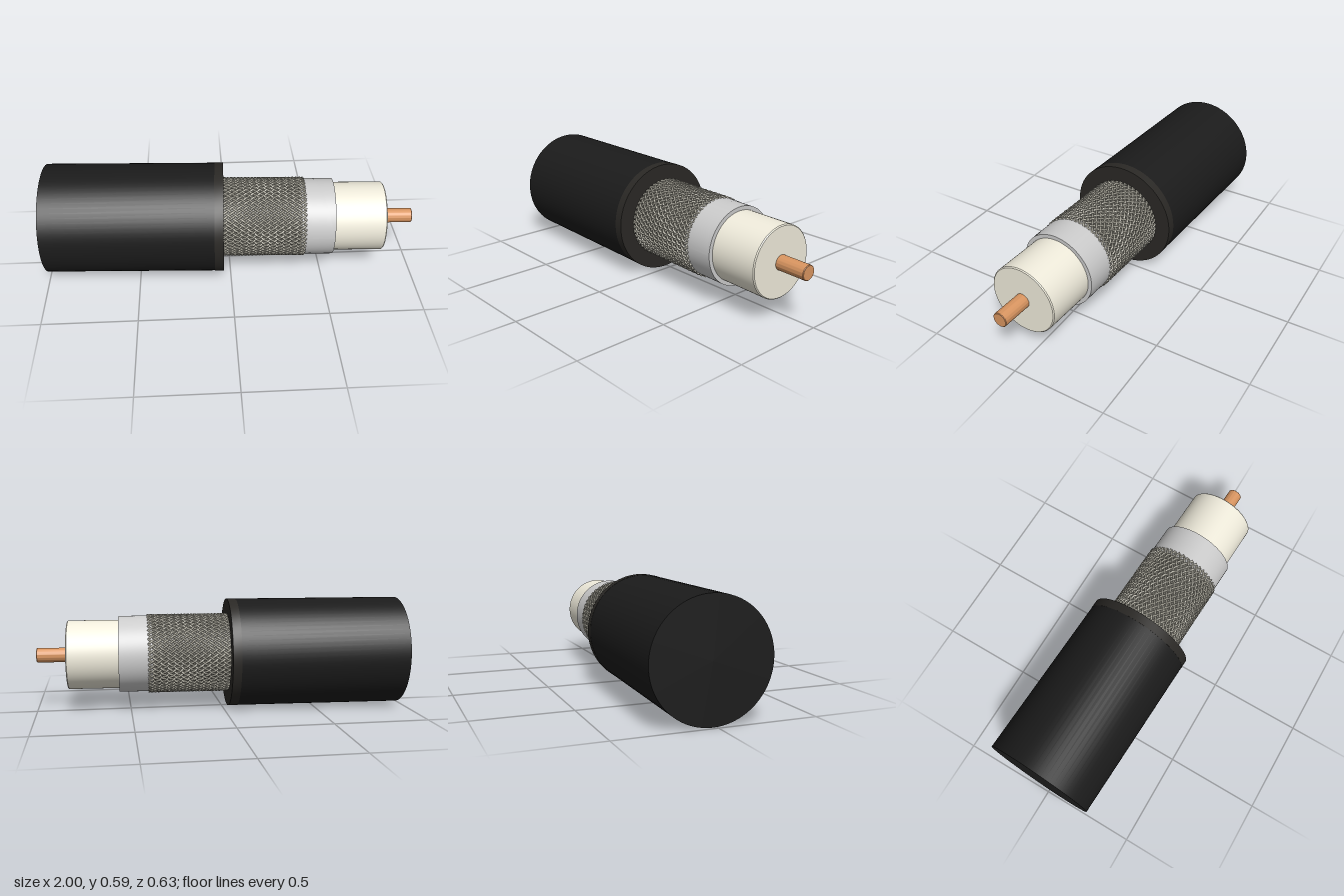
import * as THREE from 'three';
import { mergeGeometries, toCreasedNormals } from 'three/addons/utils/BufferGeometryUtils.js';

const mat = (color) => new THREE.MeshStandardMaterial({ color });

// Solid round layer along x from a to b, with a small chamfer on the +x end
function layer(name, r, a, b, color, chamfer = 0) {
  const pts = [[0, a], [r, a], [r, b - chamfer]];
  if (chamfer) pts.push([r - chamfer, b]);
  pts.push([0, b]);
  const lathe = new THREE.LatheGeometry(pts.map(([x, y]) => new THREE.Vector2(x, y)), 72);
  const geo = toCreasedNormals(lathe, 0.5);
  geo.rotateZ(-Math.PI / 2);
  const mesh = new THREE.Mesh(geo, mat(color));
  mesh.name = name;
  return mesh;
}

// One braid wire: a helix whose radius waves over and under the crossing wires
class BraidWire extends THREE.Curve {
  constructor(dir, count, turns, a, b) {
    super();
    Object.assign(this, { dir, count, turns, a, b });
  }
  getPoint(t, target = new THREE.Vector3()) {
    const ang = 2 * Math.PI * this.turns * t;
    const r = 0.207 + this.dir * 0.0035 * Math.cos(this.count * ang);
    return target.set(this.a + (this.b - this.a) * t,
      r * Math.cos(this.dir * ang), r * Math.sin(this.dir * ang));
  }
  getPointAt(t, target) { return this.getPoint(t, target); }
  getTangentAt(t, target) { return this.getTangent(t, target); }
}

function braid(a, b) {
  const count = 48, wires = [];
  for (const dir of [1, -1]) {
    const wire = new THREE.TubeGeometry(new BraidWire(dir, count, 0.25, a, b), 72, 0.0058, 5);
    for (let i = 0; i < count; i++) {
      wires.push(wire.clone().rotateX((2 * Math.PI * i) / count));
    }
  }
  const mesh = new THREE.Mesh(mergeGeometries(wires), mat(0xb4b1a4));
  mesh.name = 'braidWires';
  return mesh;
}

// Overlapping foil edge: a thin sheet bounded by a helical seam
function foilOverlap(start, end) {
  const geo = new THREE.PlaneGeometry(1, 1, 48, 4);
  const p = geo.attributes.position;
  for (let i = 0; i < p.count; i++) {
    const u = p.getX(i) + 0.5, v = p.getY(i) + 0.5;
    const ang = -1.37 + u * 2.94;
    const x = start + v * u * (end - start);
    p.setXYZ(i, x, 0.2085 * Math.cos(ang), 0.2085 * Math.sin(ang));
  }
  geo.computeVertexNormals();
  const material = mat(0xd6d6d3);
  material.side = THREE.DoubleSide;
  const mesh = new THREE.Mesh(geo, material);
  mesh.name = 'foilOverlap';
  return mesh;
}

export function createModel() {
  const cable = new THREE.Group();
  cable.name = 'coaxialCable';

  // Outer jacket with its cut end band
  cable.add(layer('jacket', 0.295, -0.988, -0.08, 0x1b1b1b));
  cable.add(layer('jacketEndBand', 0.296, -0.08, -0.033, 0x2a2825));

  // Woven shield over a dark core
  cable.add(layer('braidCore', 0.203, -0.05, 0.4, 0x6e6c63));
  cable.add(braid(-0.045, 0.403));

  // Foil wrap
  cable.add(layer('foil', 0.207, 0.38, 0.558, 0xd6d6d3));
  cable.add(foilOverlap(0.405, 0.557));

  // Insulating core and copper conductor
  cable.add(layer('dielectric', 0.186, 0.5, 0.832, 0xf0ecdc, 0.005));
  cable.add(layer('conductor', 0.039, 0.8, 0.998, 0xd99560, 0.003));

  // The cable lies at a slight angle to the x axis
  cable.position.set(0, 0.297, 0.017);
  cable.rotation.y = -0.043;

  const model = new THREE.Group();
  model.add(cable);
  return model;
}
